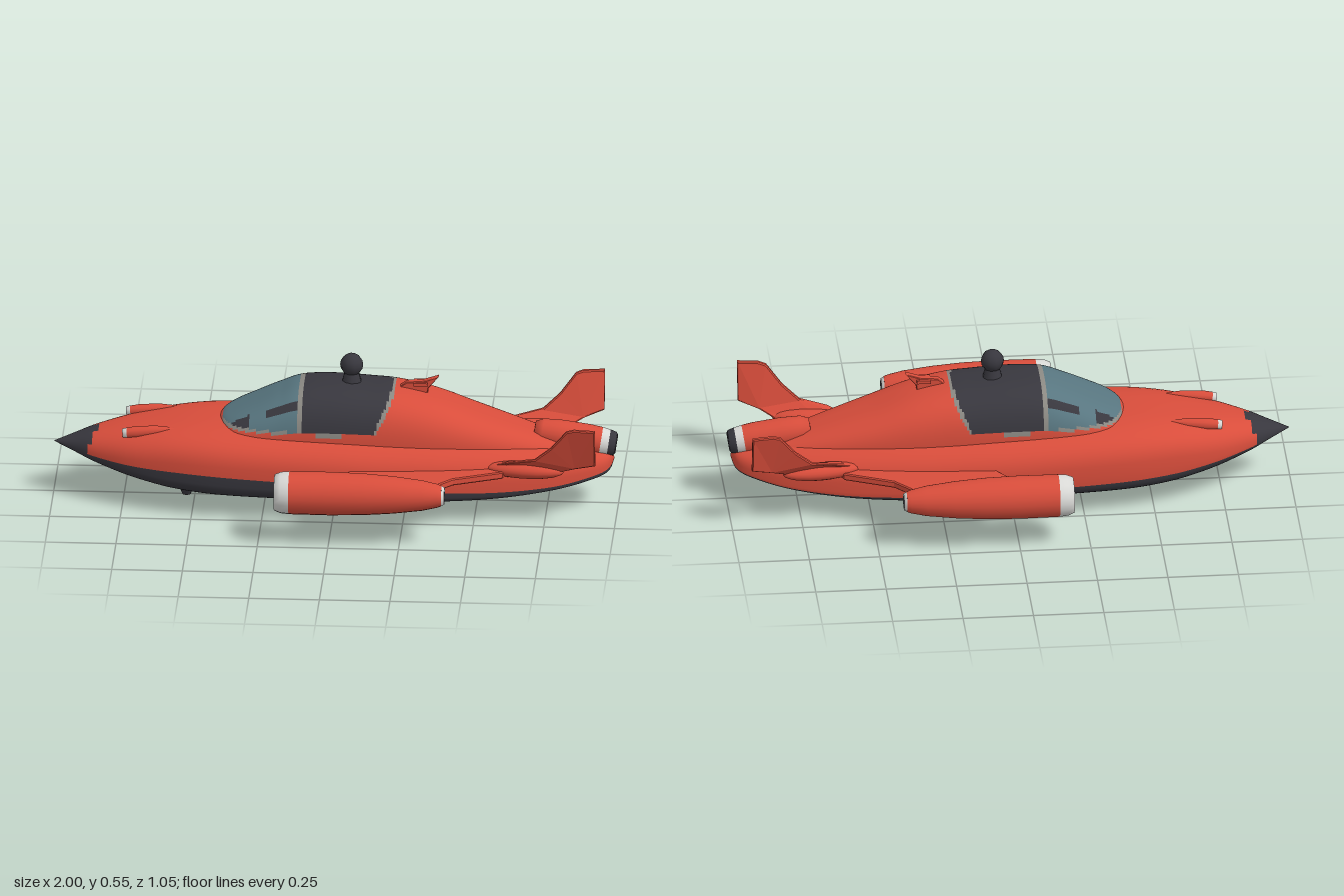
import * as THREE from 'three';

const mat = (name, color) => {
  const m = new THREE.MeshStandardMaterial({ color });
  m.name = name;
  return m;
};
const red = mat('red paint', 0xd84d3b);
const dark = mat('dark panels', 0x38373e);
const glass = mat('canopy glass', 0x587680);
const white = mat('white trim', 0xd9d9d6);
const grey = mat('grey frame', 0x8b8983);

const add = (parent, name, geometry, material) => {
  const mesh = new THREE.Mesh(geometry, material);
  mesh.name = name;
  parent.add(mesh);
  return mesh;
};

// Smooth interpolation through rows of section values
function smoothRows(rows, steps) {
  const out = [];
  const at = (i) => rows[Math.max(0, Math.min(rows.length - 1, i))];
  for (let i = 0; i < rows.length - 1; i++) {
    for (let s = 0; s < steps; s++) {
      const t = s / steps;
      out.push(rows[i].map((b, k) => {
        const a = at(i - 1)[k], c = at(i + 1)[k], d = at(i + 2)[k];
        return b + 0.5 * t * (c - a + t * (2 * a - 5 * b + 4 * c - d + t * (3 * (b - c) + d - a)));
      }));
    }
  }
  out.push(rows[rows.length - 1]);
  return out;
}

// Closed rings along x; each cell gets a material index from a rule
function loft(rows, n, point, colour, count) {
  const pos = [], faces = Array.from({ length: count }, () => []);
  rows.forEach((r) => {
    for (let j = 0; j < n; j++) pos.push(...point(r, (j / n) * Math.PI * 2));
  });
  for (let i = 0; i < rows.length - 1; i++) {
    for (let j = 0; j < n; j++) {
      const k = (j + 1) % n;
      const a = i * n + j, b = a + n, c = (i + 1) * n + k, d = i * n + k;
      const mid = [0, 1, 2].map((q) => (pos[a * 3 + q] + pos[b * 3 + q] + pos[c * 3 + q] + pos[d * 3 + q]) / 4);
      faces[colour(mid, j / n)].push(a, b, c, a, c, d);
    }
  }
  const g = new THREE.BufferGeometry();
  g.setAttribute('position', new THREE.Float32BufferAttribute(pos, 3));
  g.setIndex(faces.flat());
  let start = 0;
  faces.forEach((f, m) => {
    g.addGroup(start, f.length, m);
    start += f.length;
  });
  g.computeVertexNormals();
  return g;
}

const spow = (v, p) => Math.sign(v) * Math.abs(v) ** p;

// Turned part lying along x, from [radius, x] points
function turned(points, segments = 20) {
  const g = new THREE.LatheGeometry(points.map(([r, t]) => new THREE.Vector2(r, t)), segments);
  return g.rotateZ(-Math.PI / 2);
}

function plate(points, depth, bevel) {
  const shape = new THREE.Shape(points.map((p) => new THREE.Vector2(...p)));
  return new THREE.ExtrudeGeometry(shape, {
    depth, bevelThickness: bevel, bevelSize: bevel, bevelSegments: 1, bevelEnabled: bevel > 0,
  }).translate(0, 0, -depth / 2);
}

export function createModel() {
  const ship = new THREE.Group();
  ship.name = 'racingShip';

  // Hull rows: x, half width, bottom, colour split, deck
  const hullRows = smoothRows([
    [-1, 0, 0.19, 0.19, 0.19], [-0.92, 0.055, 0.16, 0.18, 0.22], [-0.84, 0.108, 0.132, 0.172, 0.247],
    [-0.7, 0.178, 0.098, 0.166, 0.277], [-0.5, 0.235, 0.07, 0.164, 0.303], [-0.3, 0.26, 0.062, 0.158, 0.306],
    [0, 0.268, 0.06, 0.145, 0.298], [0.2, 0.262, 0.061, 0.13, 0.29], [0.4, 0.247, 0.065, 0.118, 0.28],
    [0.6, 0.215, 0.076, 0.114, 0.262], [0.78, 0.165, 0.096, 0.12, 0.238], [0.9, 0.11, 0.116, 0.136, 0.216],
    [0.965, 0.06, 0.135, 0.15, 0.2], [0.985, 0, 0.168, 0.17, 0.175],
  ], 5);
  add(ship, 'hull', loft(hullRows, 48, ([x, w, bottom, split, deck], a) => {
    const c = Math.cos(a), s = Math.sin(a);
    const p = THREE.MathUtils.lerp(0.95, s < 0 ? 0.52 : 0.67, Math.min(1, (x + 1) / 0.4));
    const h = s < 0 ? split - bottom : deck - split;
    return [x, split + h * spow(s, p), w * spow(c, p)];
  }, ([x, , z], v) => (v > 0.5 || x < -0.835 - Math.abs(z) * 0.4 ? 1 : 0), 2), [red, dark]);

  // Cabin and tapering spine rows: x, half width, base, roof
  const cabinRows = smoothRows([
    [-0.415, 0.03, 0.24, 0.3], [-0.395, 0.11, 0.24, 0.318], [-0.355, 0.16, 0.24, 0.338],
    [-0.28, 0.18, 0.24, 0.373], [-0.2, 0.187, 0.24, 0.41], [-0.12, 0.19, 0.24, 0.44], [0, 0.192, 0.24, 0.446],
    [0.12, 0.191, 0.24, 0.439], [0.22, 0.188, 0.24, 0.43], [0.35, 0.18, 0.23, 0.4], [0.5, 0.16, 0.22, 0.346],
    [0.65, 0.13, 0.2, 0.295], [0.8, 0.09, 0.18, 0.245], [0.93, 0.05, 0.165, 0.205],
  ], 12);
  const cabinColour = ([x, y, z]) => {
    const side = Math.abs(z), rear = 0.14 + (y - 0.31) * 0.48;
    if (y < 0.303 || x > rear + 0.014 || x < -0.4) return 0;
    if (y < 0.313 || x > rear || Math.abs(x + 0.122) < 0.008) return 3;
    if (x > -0.12) return 1;
    const pillar = (x < -0.3 && side > 0.115) || (x > -0.24 && side > 0.125 && side < 0.155);
    return pillar ? 1 : 2;
  };
  add(ship, 'cabin', loft(cabinRows, 80, ([x, w, base, roof], a) => [
    x, base + (roof - base) * spow(Math.sin(a), 0.72), w * spow(Math.cos(a), 0.72),
  ], cabinColour, 4), [red, dark, glass, grey]);

  // Roof turret and small aerial
  const turret = new THREE.Group();
  turret.name = 'roofTurret';
  turret.position.set(0.055, 0.44, 0);
  add(turret, 'turretNeck', new THREE.CylinderGeometry(0.025, 0.038, 0.05, 10), dark).position.y = 0.015;
  add(turret, 'turretHead', new THREE.SphereGeometry(0.041, 10, 8), dark).position.y = 0.064;
  ship.add(turret);
  add(ship, 'aerial', plate([[0.22, 0.42], [0.25, 0.442], [0.31, 0.447], [0.36, 0.465], [0.325, 0.425], [0.32, 0.39]], 0.022, 0.003), red);
  add(ship, 'aerialBar', new THREE.BoxGeometry(0.05, 0.012, 0.05), red).position.set(0.3, 0.44, 0);

  // Tail engine
  const engine = new THREE.Group();
  engine.name = 'tailEngine';
  engine.position.set(0.7, 0.268, 0);
  engine.rotation.z = -0.15;
  add(engine, 'engineCowl', turned([[0, 0], [0.035, 0.002], [0.048, 0.03], [0.054, 0.1], [0.054, 0.2], [0.051, 0.24]]), red);
  add(engine, 'engineRing', turned([[0.051, 0.24], [0.047, 0.268]]), white);
  add(engine, 'engineNozzle', turned([[0.047, 0.268], [0.042, 0.29], [0.032, 0.297], [0.026, 0.265], [0, 0.28]]), dark);
  ship.add(engine);

  for (const s of [1, -1]) {
    const label = s > 0 ? 'left' : 'right';

    // Wing carrying the side pod
    const wing = plate([[0.1, 0.2], [0.06, 0.27], [0.03, 0.31], [-0.03, 0.39], [-0.03, 0.44],
      [0.33, 0.44], [0.36, 0.39], [0.43, 0.31], [0.6, 0.235], [0.62, 0.18]].map(([x, z]) => [x, s * z]), 0.018, 0.004);
    add(ship, label + 'Wing', wing.rotateX(Math.PI / 2), red).position.y = 0.187;

    // Side pod with intake lip and exhaust
    const pod = new THREE.Group();
    pod.name = label + 'Pod';
    pod.position.set(0, 0.187, s * 0.447);
    add(pod, 'podIntake', turned([[0, -0.185], [0.02, -0.165], [0.022, -0.15], [0.055, -0.15]]), dark);
    add(pod, 'podLip', turned([[0.055, -0.15], [0.054, -0.188], [0.064, -0.192], [0.073, -0.17], [0.076, -0.14]]), white);
    add(pod, 'podBody', turned([[0.076, -0.14], [0.077, 0], [0.074, 0.12], [0.066, 0.23], [0.054, 0.33], [0.042, 0.385], [0.036, 0.4]]), red);
    add(pod, 'podExhaustRing', turned([[0.036, 0.4], [0.03, 0.41], [0.022, 0.41]], 10), white);
    add(pod, 'podExhaust', turned([[0.022, 0.41], [0.018, 0.39], [0, 0.395]], 10), dark);
    ship.add(pod);

    // Tail fin, leaning outward and curving in at the root
    const fin = plate([[0.54, 0.2], [0.62, 0.23], [0.72, 0.252], [0.78, 0.305], [0.835, 0.375], [0.86, 0.383],
      [0.93, 0.383], [0.93, 0.25], [0.86, 0.228], [0.8, 0.2], [0.76, 0.16], [0.6, 0.16]], 0.012, 0.004);
    const p = fin.attributes.position;
    for (let i = 0; i < p.count; i++) {
      const x = p.getX(i), y = p.getY(i);
      const lean = 0.235 + (y - 0.2) * 0.2 + (x - 0.7) * 0.13 - Math.max(0, 0.24 - y) * 0.8;
      p.setZ(i, p.getZ(i) + s * lean);
    }
    fin.computeVertexNormals();
    add(ship, label + 'Fin', fin, red);
    const root = add(ship, label + 'FinRoot', new THREE.SphereGeometry(1, 16, 10), red);
    root.scale.set(0.14, 0.03, 0.04);
    root.rotation.y = -s * 0.12;
    root.position.set(0.68, 0.2, s * 0.21);

    // Nose cannon
    const cannon = new THREE.Group();
    cannon.name = label + 'Cannon';
    cannon.position.set(-0.66, 0.275, s * 0.107);
    cannon.rotation.z = 0.1;
    add(cannon, 'cannonMuzzle', turned([[0, -0.08], [0.009, -0.08], [0.009, -0.09]], 10), dark);
    add(cannon, 'cannonTip', turned([[0.009, -0.09], [0.016, -0.09], [0.018, -0.075]], 10), white);
    add(cannon, 'cannonBody', turned([[0.018, -0.075], [0.021, -0.04], [0.018, 0.03], [0, 0.13]], 10), red);
    ship.add(cannon);
  }

  // Landing feet
  for (const [x, z] of [[-0.53, 0], [0.02, 0.135], [0.02, -0.135]]) {
    const foot = new THREE.Group();
    foot.name = 'landingFoot';
    foot.position.set(x, 0, z);
    add(foot, 'footStrut', new THREE.CylinderGeometry(0.036, 0.03, 0.05, 7), dark).position.y = 0.055;
    add(foot, 'footPad', new THREE.CylinderGeometry(0.03, 0.016, 0.032, 7), dark).position.y = 0.016;
    ship.add(foot);
  }
  return ship;
}
